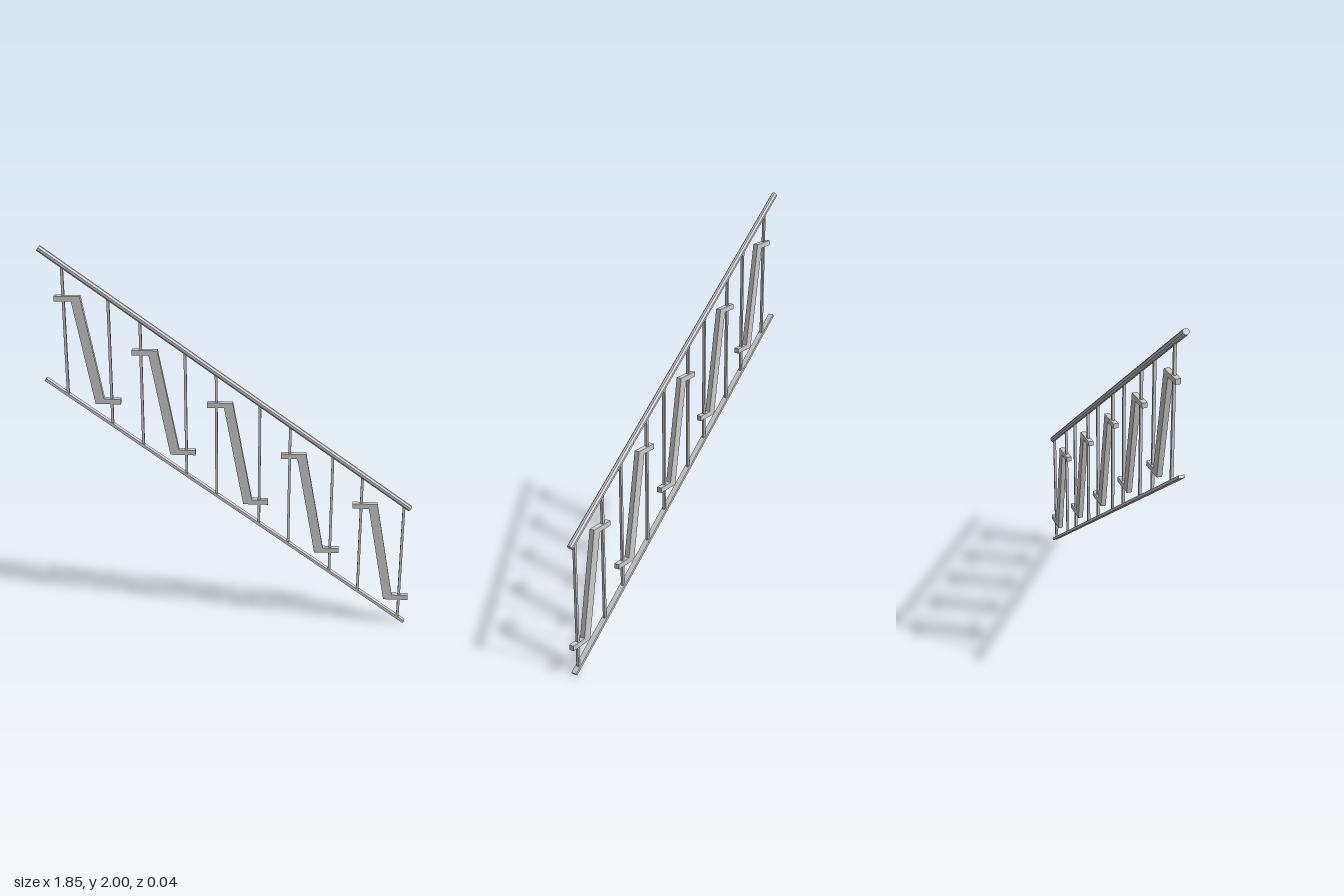
import * as THREE from 'three';

const SLOPE = -0.722; // fall of the stair per unit of x
const RAIL_Y = 1.327; // handrail height at x = 0
const BASE_Y = 0.667; // bottom bar height at x = 0
const HALF_RUN = 0.913;

export function createModel() {
  const model = new THREE.Group();
  model.name = 'stairRailing';
  const mat = new THREE.MeshStandardMaterial({ color: 0xcccccc, flatShading: true });
  const pitch = Math.atan(SLOPE);
  const length = (2 * HALF_RUN) / Math.cos(pitch);

  function add(name, geometry, x, y, z = 0) {
    const mesh = new THREE.Mesh(geometry, mat);
    mesh.name = name;
    mesh.position.set(x, y, z);
    model.add(mesh);
    return mesh;
  }

  // Sloping handrail, an eight-sided tube
  const railGeo = new THREE.CylinderGeometry(0.0155, 0.0155, length, 8);
  railGeo.rotateY(Math.PI / 8);
  railGeo.rotateZ(Math.PI / 2);
  add('handrail', railGeo, 0, RAIL_Y).rotation.z = pitch;

  // Flat bar along the foot
  add('bottomBar', new THREE.BoxGeometry(length, 0.014, 0.028), 0, BASE_Y).rotation.z = pitch;

  // Slanted panel with a short arm at top and bottom, about its own centre
  const half = [[-0.153, 0.275], [-0.027, 0.275], [0.07, -0.249], [0.153, -0.249]];
  const outline = [...half, ...half.map(([x, y]) => [-x, -y])];
  const shape = new THREE.Shape(outline.map(([x, y]) => new THREE.Vector2(x, y)));
  const panelGeo = new THREE.ExtrudeGeometry(shape, { depth: 0.026, bevelEnabled: false });
  panelGeo.translate(0, 0, -0.013);

  // Five repeats, each with a panel held between two balusters
  const balusterGeo = new THREE.BoxGeometry(0.013, RAIL_Y - BASE_Y, 0.013);
  for (let i = 0; i < 5; i++) {
    const x = -0.696 + i * 0.3675;
    add('panel', panelGeo, x, 1.479 - i * 0.2655);
    for (const bx of [x - 0.109, x + 0.107]) {
      add('baluster', balusterGeo, bx, (RAIL_Y + BASE_Y) / 2 + SLOPE * bx);
    }
  }

  // The whole run is turned very slightly
  model.rotation.y = 0.0065;
  const group = new THREE.Group();
  group.name = 'railing';
  group.add(model);
  return group;
}
